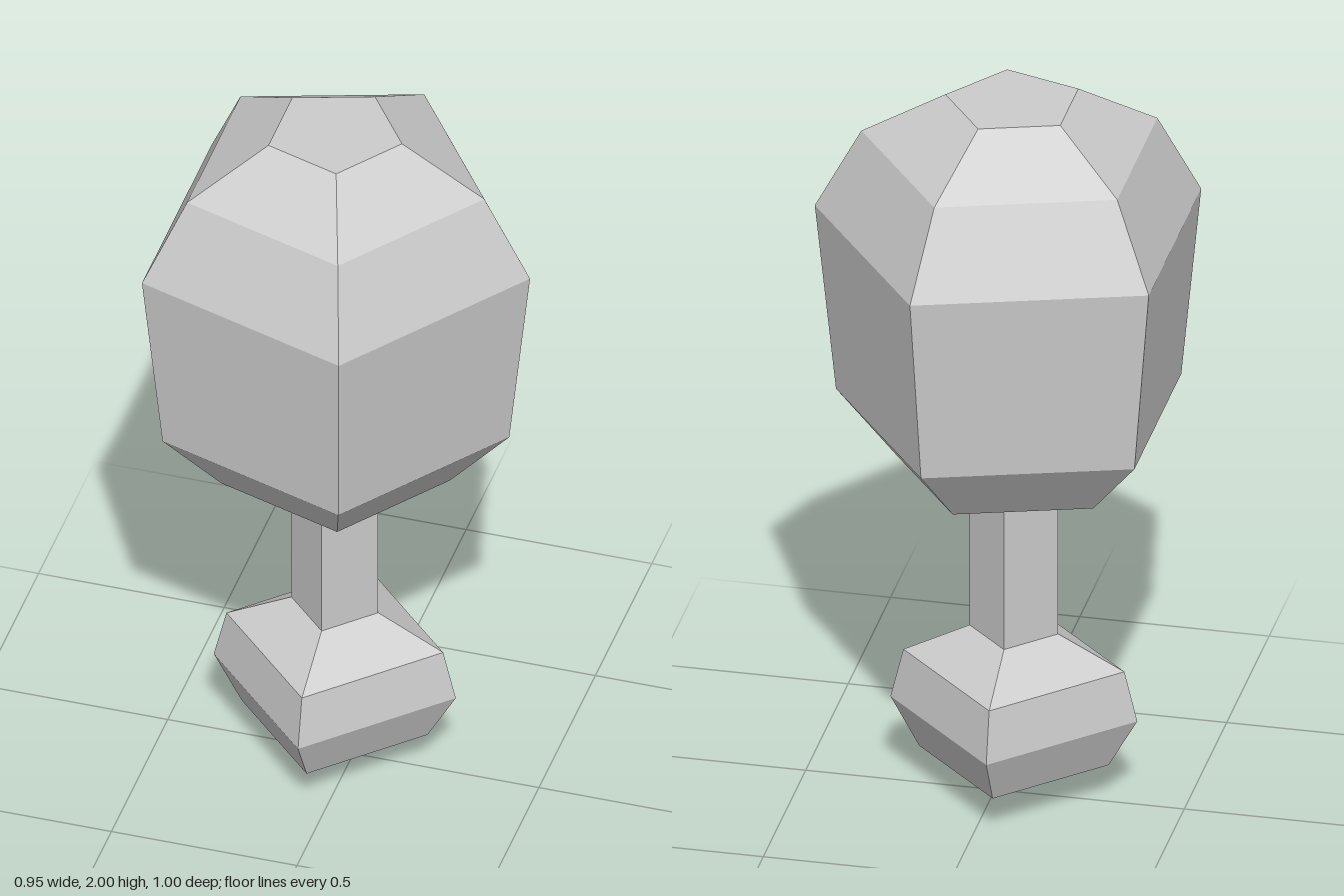
import * as THREE from 'three';

const AXIS_X = -0.05; // the shared upright axis sits slightly right of centre

// Faceted solid of revolution; profile is [radius, y] from bottom to top, one corner on +x
function faceted(name, sides, profile, material) {
  const points = profile.map(([r, y]) => new THREE.Vector2(r, y));
  const geometry = new THREE.LatheGeometry(points, sides, Math.PI / 2).toNonIndexed();
  geometry.computeVertexNormals();
  const mesh = new THREE.Mesh(geometry, material);
  mesh.name = name;
  mesh.position.x = AXIS_X;
  return mesh;
}

export function createModel() {
  const group = new THREE.Group();
  group.name = 'mallet';
  const grey = new THREE.MeshStandardMaterial({ color: 0xcccccc });
  grey.name = 'light grey';

  // Five-sided head with closed bottom and flat top
  group.add(faceted('head', 5, [
    [0, 0.94], [0.31, 0.94], [0.47, 1.115], [0.526, 1.64], [0.403, 1.87], [0.181, 2], [0, 2],
  ], grey));

  // Square shaft
  group.add(faceted('shaft', 4, [[0.117, 0.47], [0.117, 0.94]], grey));

  // Four-sided pommel ending in a point
  group.add(faceted('pommel', 4, [
    [0, 0], [0.25, 0.105], [0.326, 0.24], [0.292, 0.38], [0.117, 0.47],
  ], grey));

  return group;
}
